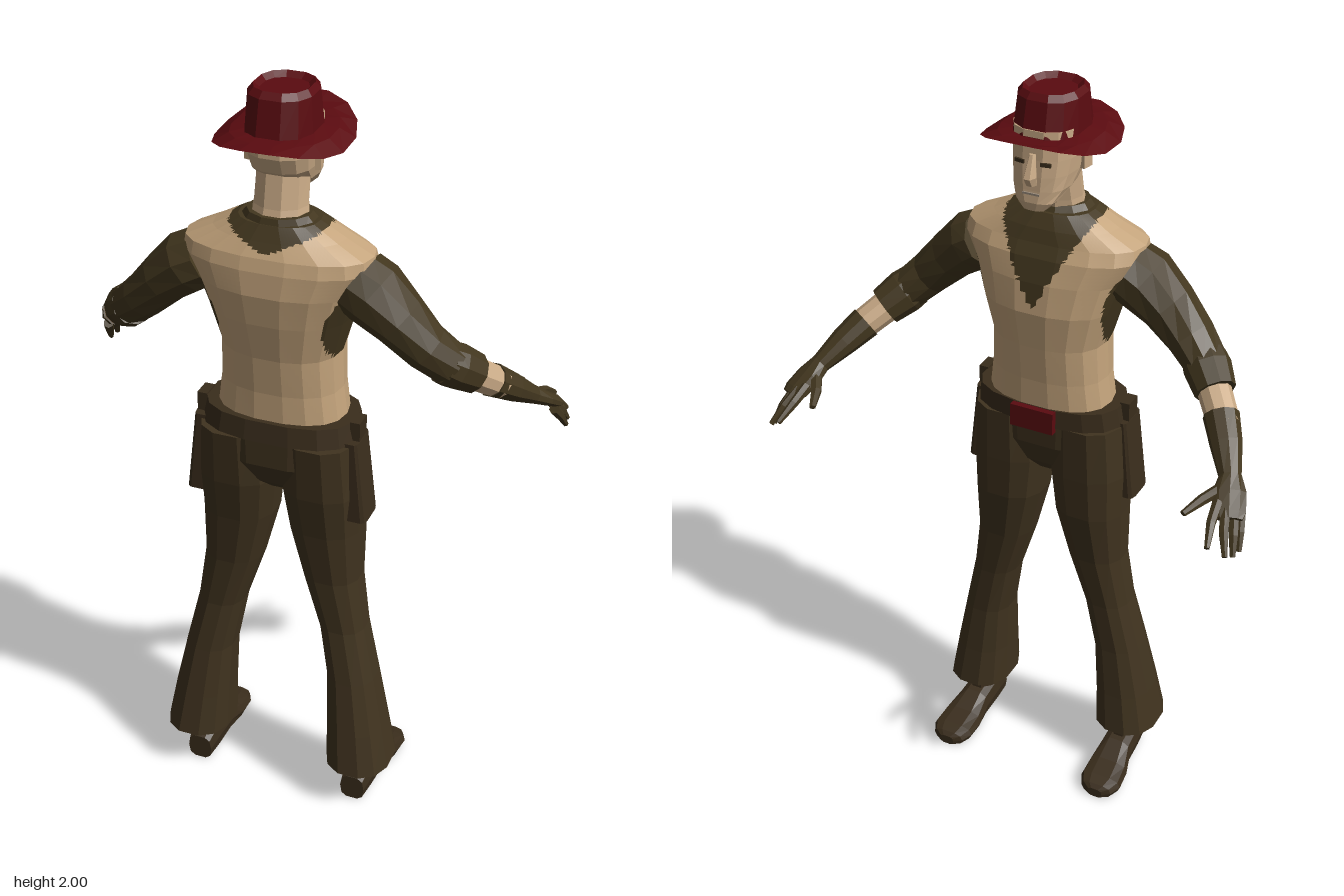
import * as THREE from 'three';

const V = (x, y, z) => new THREE.Vector3(x, y, z);
const X = V(1, 0, 0), Y = V(0, 1, 0), Z = V(0, 0, 1);
const material = (name, color) => {
  const m = new THREE.MeshStandardMaterial({ color });
  m.name = name;
  return m;
};

// Closed rounded cross-section; u x v points along the loft direction.
function ring(c, u, v, ru, rv, n, power = 2) {
  const soft = (t) => Math.sign(t) * Math.pow(Math.abs(t), 2 / power);
  return Array.from({ length: n }, (_, j) => {
    const a = ((j + 0.5) / n) * Math.PI * 2;
    return c.clone().addScaledVector(u, ru * soft(Math.cos(a))).addScaledVector(v, rv * soft(Math.sin(a)));
  });
}

// Faceted skin over rings; pick(centroid) chooses a material, k subdivides each panel.
function loft(name, rings, mats, { pick = () => 0, k = 1, caps = true } = {}) {
  const list = Array.isArray(mats) ? mats : [mats];
  const buckets = list.map(() => []);
  const tri = (a, b, c) => {
    const mid = a.clone().add(b).add(c).divideScalar(3);
    buckets[pick(mid)].push(...a.toArray(), ...b.toArray(), ...c.toArray());
  };
  const n = rings[0].length;
  for (let i = 0; i < rings.length - 1; i++) {
    for (let j = 0; j < n; j++) {
      const j2 = (j + 1) % n;
      const at = (s, t) => rings[i][j].clone().lerp(rings[i][j2], s / k)
        .lerp(rings[i + 1][j].clone().lerp(rings[i + 1][j2], s / k), t / k);
      for (let s = 0; s < k; s++) for (let t = 0; t < k; t++) {
        tri(at(s, t), at(s + 1, t), at(s + 1, t + 1));
        tri(at(s, t), at(s + 1, t + 1), at(s, t + 1));
      }
    }
  }
  if (caps) {
    for (const [r, end] of [[rings[0], false], [rings[rings.length - 1], true]]) {
      const c = r.reduce((sum, p) => sum.add(p), V(0, 0, 0)).divideScalar(n);
      r.forEach((p, j) => (end ? tri(c, p, r[(j + 1) % n]) : tri(c, r[(j + 1) % n], p)));
    }
  }
  const g = new THREE.BufferGeometry();
  g.setAttribute('position', new THREE.Float32BufferAttribute(buckets.flat(), 3));
  let start = 0;
  buckets.forEach((b, i) => {
    g.addGroup(start, b.length / 3, i);
    start += b.length / 3;
  });
  g.computeVertexNormals();
  const mesh = new THREE.Mesh(g, Array.isArray(mats) ? list : mats);
  mesh.name = name;
  return mesh;
}

// Upright loft from rows of [y, centre x, half width, front z, back z].
const upright = (name, rows, mats, n = 12, power = 2, opts) => loft(name,
  rows.map(([y, cx, rx, zf, zb]) => ring(V(cx, y, (zf + zb) / 2), Z, X, (zb - zf) / 2, rx, n, power)), mats, opts);

// Limb along rows of [x, y, z, horizontal radius, vertical radius], mirrored by side.
function limb(name, rows, side, mat, n = 8) {
  const pts = rows.map(([x, y, z]) => V(x * side, y, z));
  return loft(name, rows.map((r, i) => {
    const t = pts[Math.min(i + 1, pts.length - 1)].clone().sub(pts[Math.max(i - 1, 0)]).normalize();
    const u = t.clone().cross(Y).normalize();
    return ring(pts[i], u, t.clone().cross(u), r[3], r[4], n);
  }), mat);
}

export function createModel() {
  const model = new THREE.Group();
  model.name = 'figure';
  const skin = material('skin', 0xc9aa86);
  const vest = material('vest beige', 0xc4a47c);
  const cloth = material('shirt brown', 0x43371f);
  const denim = material('trouser brown', 0x40331f);
  const leather = material('leather brown', 0x3a2d1c);
  const red = material('dark red', 0x5a0b10);
  const lining = material('brim lining', 0x9a8c7c);
  const add = (...parts) => model.add(...parts);
  const box = (name, size, pos, mat) => {
    const m = new THREE.Mesh(new THREE.BoxGeometry(...size), mat);
    m.position.set(...pos);
    m.name = name;
    add(m);
    return m;
  };

  // Torso: vest with a deep neckline in front, shallow behind, and dark armholes
  const torsoColour = (p) => {
    const x = Math.abs(p.x);
    const neck = p.z < 0.13 ? p.y > 1.46 + x * 1.8 : p.y > 1.63 + x * 0.4;
    const armhole = x > 0.13 && ((p.y - 1.47) / 0.12) ** 2 + ((p.z - 0.125) / 0.085) ** 2 < 1;
    return neck || armhole ? 1 : 0;
  };
  add(upright('torso', [
    [1.13, 0, 0.172, 0.0, 0.215], [1.25, 0, 0.156, -0.005, 0.215], [1.35, 0, 0.152, -0.015, 0.225],
    [1.45, 0, 0.18, -0.026, 0.245], [1.53, 0, 0.205, -0.016, 0.256], [1.59, 0, 0.24, 0.0, 0.25],
    [1.622, 0, 0.235, 0.018, 0.24], [1.655, 0, 0.165, 0.03, 0.22], [1.69, 0, 0.1, 0.05, 0.2],
  ], [vest, cloth], 18, 2.4, { pick: torsoColour, k: 6 }));
  add(upright('collar', [[1.66, 0, 0.115, 0.04, 0.21], [1.705, 0, 0.08, 0.065, 0.195]], cloth, 12));

  // Neck and head
  add(upright('neck', [[1.66, 0, 0.078, 0.07, 0.2], [1.72, 0, 0.068, 0.06, 0.18], [1.8, 0, 0.066, 0.04, 0.165]], skin, 10));
  add(upright('head', [
    [1.724, 0, 0.03, -0.017, 0.025], [1.745, 0, 0.052, -0.021, 0.055], [1.775, 0, 0.07, -0.018, 0.13],
    [1.81, 0, 0.078, -0.016, 0.178], [1.85, 0, 0.083, -0.012, 0.196], [1.92, 0, 0.082, -0.008, 0.192],
  ], skin, 14, 2.6));
  add(upright('nose', [[1.79, 0, 0.014, -0.03, 0.0], [1.812, 0, 0.016, -0.044, 0.0], [1.865, 0, 0.008, -0.018, 0.0]], skin, 6));
  box('mouth', [0.044, 0.005, 0.006], [0, 1.768, -0.018], lining);
  for (const s of [-1, 1]) {
    box('ear', [0.014, 0.055, 0.032], [s * 0.085, 1.835, 0.1], skin).rotation.y = s * 0.2;
    box('eye', [0.026, 0.009, 0.006], [s * 0.034, 1.843, -0.01], leather).rotation.y = -s * 0.15;
  }

  // Hat: drooping brim with a pale lining, crown with a sunken top
  const brimRing = (f, drop) => ring(V(0, 0, 0.095), Z, X, 0.1 + 0.087 * f, 0.084 + 0.076 * f, 16, 2.2).map((p) => {
    const c = (p.z - 0.095) / (0.1 + 0.087 * f);
    const edge = 1.868 + c * c * 0.042 - c * 0.01;
    return p.setY(THREE.MathUtils.lerp(1.902, edge, f * f) - drop);
  });
  add(loft('hatBrim', [brimRing(1, 0), brimRing(0.5, 0), brimRing(0, 0)], red, { caps: false }));
  add(loft('brimLining', [brimRing(-0.3, 0.006), brimRing(0.5, 0.006), brimRing(1, 0.001)], lining, { caps: false }));
  add(upright('hatCrown', [
    [1.895, 0, 0.086, -0.012, 0.206], [1.985, 0, 0.08, 0.01, 0.186],
    [2.0, 0, 0.068, 0.022, 0.172], [1.988, 0, 0.055, 0.038, 0.155],
  ], red, 12, 2.5));

  // Belt, buckle and hips
  add(upright('belt', [[1.122, 0, 0.205, -0.004, 0.237], [1.175, 0, 0.196, -0.004, 0.228]], leather, 16, 2.6));
  box('buckle', [0.12, 0.062, 0.02], [0, 1.143, -0.009], red);
  add(upright('hips', [
    [0.95, 0, 0.05, 0.06, 0.16], [0.985, 0, 0.12, 0.03, 0.2],
    [1.05, 0, 0.19, 0.008, 0.232], [1.13, 0, 0.198, 0.004, 0.232],
  ], denim, 14, 2.4));

  for (const s of [-1, 1]) {
    // Flared trouser leg, side pocket and belt loop
    add(upright('trouserLeg', [
      [0.13, 0.235, 0.09, 0.035, 0.255], [0.25, 0.222, 0.08, 0.046, 0.235], [0.4, 0.203, 0.067, 0.053, 0.21],
      [0.55, 0.172, 0.064, 0.05, 0.19], [0.7, 0.137, 0.078, 0.036, 0.19], [0.85, 0.118, 0.098, 0.014, 0.205],
      [0.97, 0.112, 0.107, 0.008, 0.225], [1.12, 0.11, 0.098, 0.004, 0.236],
    ].map(([y, cx, ...r]) => [y, cx * s, ...r]), denim, 12, 2.4));
    add(upright('sidePocket', [
      [0.908, s * 0.213, 0.031, 0.083, 0.182], [1.13, s * 0.196, 0.022, 0.085, 0.178],
    ], leather, 12, 5));
    box('beltLoop', [0.026, 0.06, 0.05], [s * 0.203, 1.15, 0.13], leather);

    // Shoe: heel to toe, with an ankle
    const shoe = [[0.196, 0.228, 0.034, 0.075], [0.14, 0.229, 0.042, 0.1], [0.06, 0.231, 0.045, 0.085],
      [0.0, 0.235, 0.058, 0.058], [-0.055, 0.238, 0.06, 0.046], [-0.085, 0.238, 0.045, 0.038], [-0.096, 0.238, 0.022, 0.028]];
    add(loft('shoe', shoe.map(([z, x, w, h]) => ring(V(s * x, h / 2, z), Y, X, h / 2, w, 10, 3)), leather));
    add(upright('ankle', [[0.05, s * 0.23, 0.038, 0.07, 0.19], [0.18, s * 0.23, 0.036, 0.075, 0.19]], leather, 8));

    // Sleeve with a rolled cuff, bare forearm band, glove
    add(limb('sleeve', [
      [0.195, 1.552, 0.125, 0.09, 0.075], [0.235, 1.53, 0.13, 0.092, 0.079], [0.3, 1.475, 0.13, 0.08, 0.066],
      [0.365, 1.41, 0.122, 0.068, 0.058], [0.42, 1.36, 0.097, 0.058, 0.054],
    ], s, cloth, 10));
    add(limb('cuff', [[0.405, 1.372, 0.11, 0.055, 0.055], [0.425, 1.355, 0.09, 0.06, 0.058], [0.464, 1.32, 0.05, 0.052, 0.051]], s, cloth, 10));
    add(limb('forearm', [[0.44, 1.34, 0.075, 0.043, 0.043], [0.515, 1.27, -0.01, 0.04, 0.039]], s, skin, 10));
    add(limb('glove', [
      [0.498, 1.286, 0.008, 0.045, 0.043], [0.535, 1.245, -0.045, 0.04, 0.036], [0.572, 1.2, -0.105, 0.028, 0.024],
      [0.586, 1.178, -0.14, 0.042, 0.02], [0.602, 1.152, -0.18, 0.042, 0.016], [0.608, 1.143, -0.195, 0.034, 0.011],
    ], s, cloth, 10));

    // Fingers fan out from the knuckles; the thumb points inward
    const fingers = [
      [[0.572, 1.168, -0.175], [0.578, 1.145, -0.23], [0.592, 1.112, -0.284]],
      [[0.593, 1.157, -0.18], [0.61, 1.125, -0.228], [0.63, 1.086, -0.264]],
      [[0.612, 1.146, -0.172], [0.628, 1.112, -0.21], [0.64, 1.072, -0.238]],
      [[0.622, 1.14, -0.155], [0.634, 1.107, -0.183], [0.644, 1.07, -0.208]],
      [[0.57, 1.185, -0.13], [0.536, 1.17, -0.185], [0.512, 1.158, -0.242]],
    ];
    const radii = [0.014, 0.012, 0.007];
    fingers.forEach((f, i) => add(limb(i < 4 ? 'finger' : 'thumb',
      f.map((p, j) => [...p, radii[j] * (i < 4 ? 1 : 1.2), radii[j]]), s, cloth, 6)));
  }
  return model;
}
